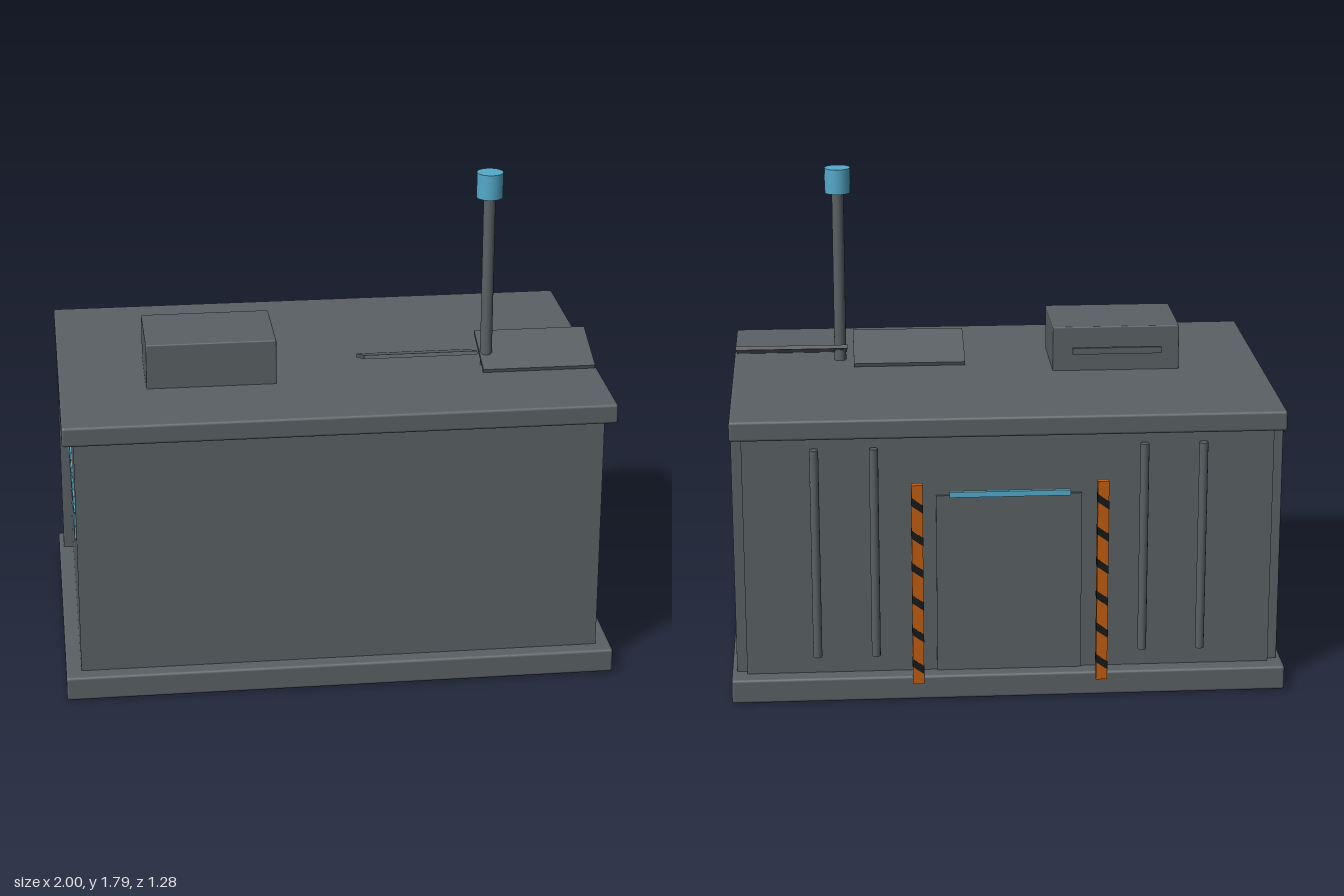
import * as THREE from 'three';
import { RoundedBoxGeometry } from 'three/addons/geometries/RoundedBoxGeometry.js';

export function createModel() {
  const model = new THREE.Group();
  model.name = 'shelter';

  const mat = (name, color) => {
    const m = new THREE.MeshStandardMaterial({ color });
    m.name = name;
    return m;
  };
  const grey = mat('grey metal', 0x5a6064);
  const blue = mat('blue glass', 0x54aacb);
  const orange = mat('orange paint', 0xc05c10);
  const black = mat('black paint', 0x16181a);

  const add = (name, geometry, material, x, y, z) => {
    const mesh = new THREE.Mesh(geometry, material);
    mesh.name = name;
    mesh.position.set(x, y, z);
    model.add(mesh);
    return mesh;
  };
  // Box given by its limits on each axis, optionally with softened edges
  const block = (name, material, [x0, x1], [y0, y1], [z0, z1], r = 0) => {
    const size = [x1 - x0, y1 - y0, z1 - z0];
    const geometry = r ? new RoundedBoxGeometry(...size, 2, r) : new THREE.BoxGeometry(...size);
    return add(name, geometry, material, (x0 + x1) / 2, (y0 + y1) / 2, (z0 + z1) / 2);
  };

  // Main building
  block('base', grey, [-1, 1], [0, 0.09], [-0.632, 0.638], 0.01);
  block('walls', grey, [-0.945, 0.945], [0.08, 0.99], [-0.572, 0.582]);
  block('roof', grey, [-0.985, 0.985], [0.98, 1.053], [-0.614, 0.62], 0.01);

  // Side pillars and windows
  for (const side of [-1, 1]) {
    const span = (a, b) => [Math.min(side * a, side * b), Math.max(side * a, side * b)];
    block('sidePillar', grey, span(0.92, 0.982), [0.085, 0.985], [-0.548, -0.49], 0.005);
    for (const z of [0.36, 0.028, -0.324]) {
      block('sideWindow', blue, span(0.943, 0.95), [0.535, 0.685], [z - 0.12, z + 0.12]);
    }
  }

  // Rear door with light strip
  block('door', grey, [-0.26, 0.26], [0.085, 0.755], [-0.58, -0.56]);
  block('doorLight', blue, [-0.215, 0.215], [0.765, 0.785], [-0.634, -0.618]);

  // Slanted hazard band wrapped round a door post
  const band = new THREE.Shape([
    new THREE.Vector2(-0.021, -0.03), new THREE.Vector2(0.021, 0),
    new THREE.Vector2(0.021, 0.03), new THREE.Vector2(-0.021, 0),
  ]);
  const bandGeometry = new THREE.ExtrudeGeometry(band, { depth: 0.03, bevelEnabled: false });
  const ribGeometry = new THREE.CylinderGeometry(0.016, 0.016, 0.78, 12);

  for (const side of [-1, 1]) {
    block('doorPost', orange, [side * 0.33 - 0.02, side * 0.33 + 0.02], [0.062, 0.815], [-0.64, -0.612]);
    for (let i = 0; i < 6; i++) {
      add('hazardBand', bandGeometry, black, side * 0.33, 0.13 + i * 0.122, -0.641);
    }
    for (const x of [0.48, 0.69]) add('wallRib', ribGeometry, grey, side * x, 0.55, -0.595);
  }

  // Roof unit with its rear slat
  block('roofUnit', grey, [-0.67, -0.2], [1.045, 1.22], [-0.046, 0.278], 0.005);
  block('roofUnitSlat', grey, [-0.6, -0.27], [1.126, 1.15], [-0.09, -0.076]);

  // Mast with lamp
  add('mast', new THREE.CylinderGeometry(0.022, 0.022, 0.66, 16), grey, 0.585, 1.375, 0.165);
  add('mastLamp', new THREE.CylinderGeometry(0.048, 0.048, 0.093, 20), blue, 0.585, 1.742, 0.165);

  // Two panels tilted in opposite directions
  for (const [x, tilt] of [[0.328, -0.33], [0.767, 0.33]]) {
    add('tiltedPanel', new THREE.BoxGeometry(0.415, 0.014, 0.226), grey, x, 1.098, 0.155).rotation.x = tilt;
  }

  return model;
}
